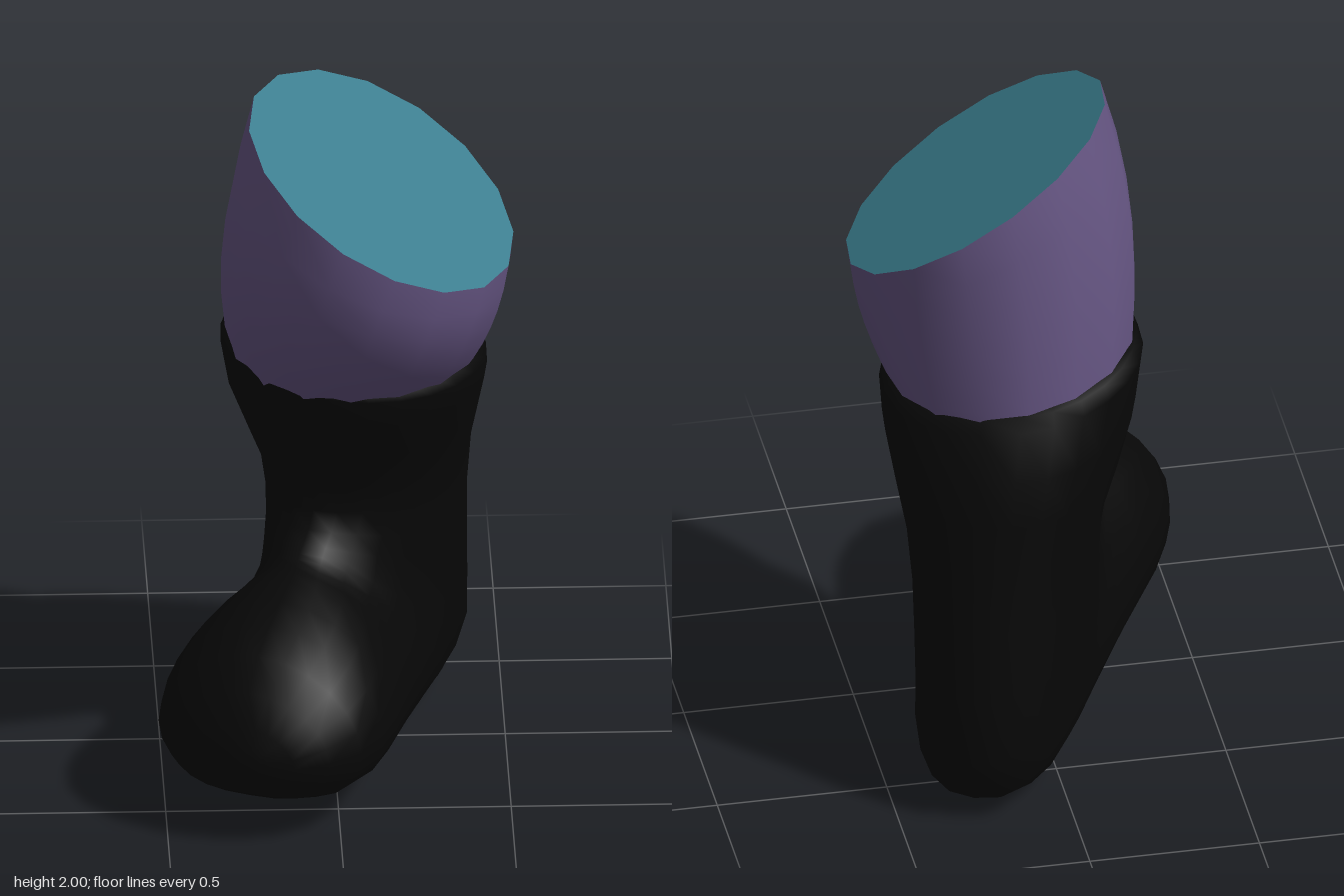
import * as THREE from 'three';

// Foot frame: u runs heel to toe, v runs across; the foot is yawed outwards.
const place = (u, y, v) => new THREE.Vector3(-0.4 * u + 0.917 * v, y, 0.917 * u + 0.4 * v);

// Skin a list of closed rings; an optional tip point closes the first ring.
function loft(rings, tip) {
  const n = rings[0].length, points = rings.flat(), index = [];
  for (let i = 0; i < rings.length - 1; i++) {
    for (let j = 0; j < n; j++) {
      const k = (j + 1) % n, a = i * n + j, b = i * n + k;
      index.push(a, b, a + n, b, b + n, a + n);
    }
  }
  if (tip) {
    points.push(tip);
    for (let j = 0; j < n; j++) index.push(points.length - 1, (j + 1) % n, j);
  }
  const g = new THREE.BufferGeometry().setFromPoints(points);
  g.setIndex(index);
  g.computeVertexNormals();
  return g;
}

const ring = (n, fn) => Array.from({ length: n }, (_, j) => fn((j / n) * Math.PI * 2));

function bootGeometry() {
  // From toe to cuff: front u, front y, back u, back y, half width
  const sections = [
    [0.793, 0.30, 0.79, 0.20, 0.06],
    [0.772, 0.365, 0.765, 0.16, 0.16],
    [0.715, 0.45, 0.70, 0.118, 0.25],
    [0.63, 0.53, 0.60, 0.085, 0.315],
    [0.52, 0.58, 0.46, 0.07, 0.34],
    [0.42, 0.61, 0.30, 0.065, 0.335],
    [0.33, 0.63, 0.05, 0.05, 0.305],
    [0.28, 0.64, -0.20, 0.02, 0.275],
    [0.25, 0.645, -0.45, 0.0, 0.255],
    [0.22, 0.655, -0.64, 0.015, 0.25],
    [0.20, 0.665, -0.765, 0.07, 0.25],
    [0.17, 0.68, -0.80, 0.20, 0.25],
    [0.13, 0.71, -0.775, 0.40, 0.255],
    [0.10, 0.76, -0.73, 0.60, 0.265],
    [0.10, 0.84, -0.695, 0.78, 0.285],
    [0.155, 0.95, -0.66, 0.93, 0.326],
    [0.225, 1.08, -0.63, 1.07, 0.363],
    [0.255, 1.20, -0.565, 1.19, 0.38],
    [0.24, 1.255, -0.535, 1.225, 0.36],
    [0.17, 1.265, -0.47, 1.23, 0.31],
  ];
  const heel = 11; // section around the back of the heel
  const rings = sections.map(([fu, fy, bu, by, w], i) => {
    // The foot is widest near the sole; the axis drifts sideways from toe to heel and back
    const skew = 1 + 0.4 * Math.sin((Math.PI * Math.min(i, heel)) / heel);
    const shift = 0.025 * Math.cos((Math.PI * Math.min(i, heel * 1.5)) / heel);
    return ring(24, (t) => {
      const c = Math.cos(t), s = Math.sin(t);
      const side = c < 0 ? Math.sign(s) * Math.abs(s) ** 0.88 : s; // squarer sole and back
      const f = ((1 + c) / 2) ** skew, v = w * side;
      const tilt = i > 16 ? -0.1 * v : 0; // cuff slopes down to one side
      return place(bu + (fu - bu) * f, by + (fy - by) * f + tilt, v + shift);
    });
  });
  return loft(rings, place(0.8, 0.25, 0.02));
}

const ellipsePoint = (angle, u, v, a, b) => place(u + a * Math.cos(angle), 0, v + b * Math.sin(angle));

// Leg cross-section at t: 0 inside the boot, 1 on the slanted cut.
function legRing(t) {
  const bulge = 4 * t * (1 - t);
  return ring(16, (angle) => {
    const low = ellipsePoint(angle, -0.15, 0.005, 0.39, 0.35);
    const top = ellipsePoint(angle + 0.16, -0.065, 0.126, 0.455, 0.372);
    const cutY = 1.765 - 0.6 * (top.x - 0.14) - 0.24 * (top.z + 0.01);
    const p = low.lerp(top, t).addScaledVector(ellipsePoint(angle, 0.03, 0, 0.035, 0.035), bulge);
    p.x -= 0.005 * bulge;
    p.y = THREE.MathUtils.lerp(1.17, cutY, t);
    return p;
  });
}

export function createModel() {
  const group = new THREE.Group();
  const add = (name, geometry, color) => {
    const mesh = new THREE.Mesh(geometry, new THREE.MeshStandardMaterial({ color }));
    mesh.name = name;
    group.add(mesh);
  };

  add('boot', bootGeometry(), 0x070707);
  add('trouserLeg', loft([0, 0.12, 0.28, 0.45, 0.62, 0.8, 1].map(legRing)), 0x655582);

  // Flat slanted cap, a fan around its centre
  const rim = legRing(1);
  const centre = rim.reduce((s, p) => s.add(p), new THREE.Vector3()).divideScalar(rim.length);
  add('cutCap', loft([rim, rim.map(() => centre)]), 0x3b7d8e);
  return group;
}
